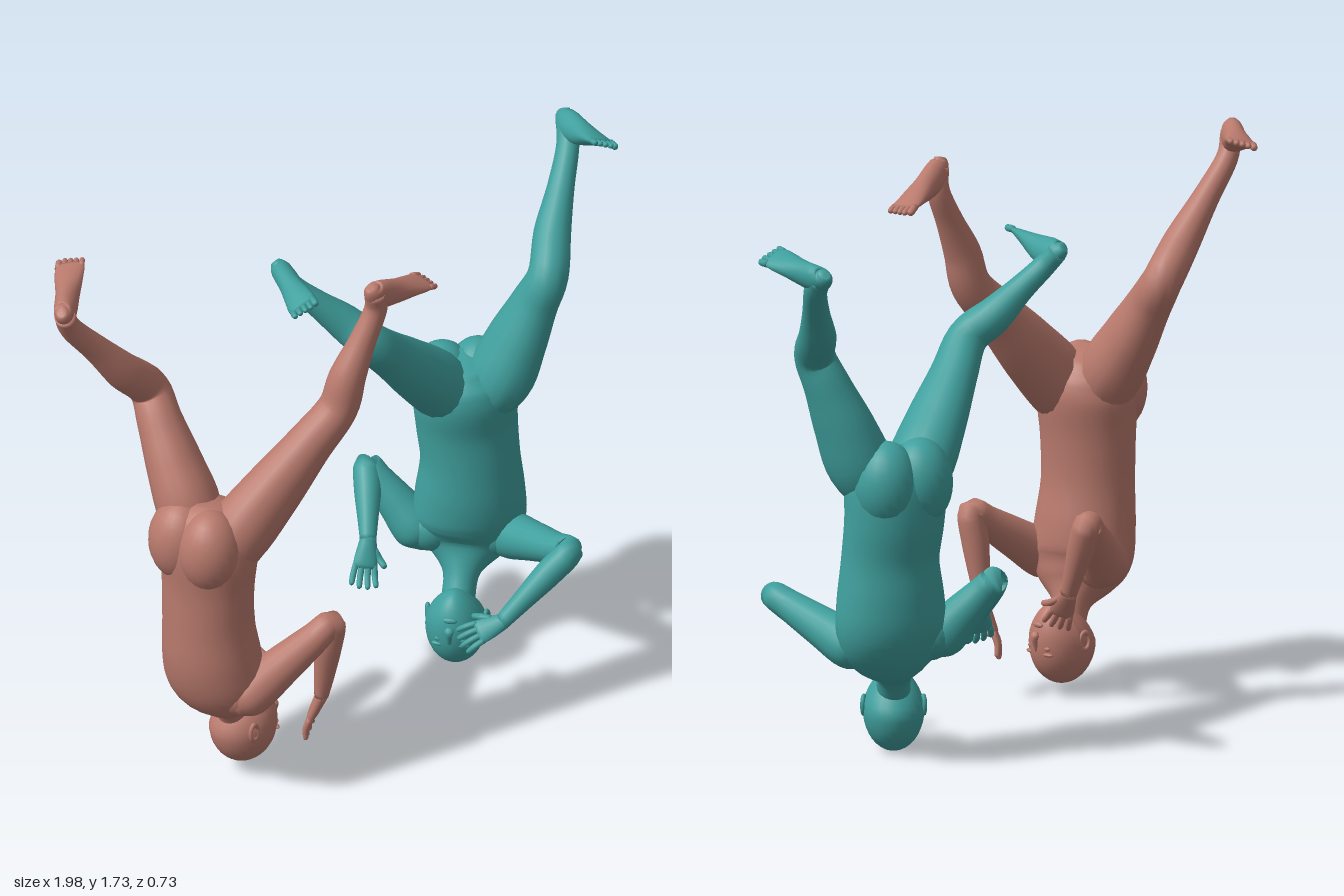
import * as THREE from 'three';

const V = (a) => new THREE.Vector3(a[0], a[1], a[2]);
const mix = (a, b, t) => a.clone().lerp(b, t);
const along = (p, dir, d) => p.clone().addScaledVector(dir, d);

// Smooth skin through sections [centre, half width, half depth]; width runs along side
function loft(sections, side, steps = 5, n = 18) {
  const path = new THREE.CatmullRomCurve3(sections.map((s) => s[0]), false, 'catmullrom', 0.5);
  const size = new THREE.CatmullRomCurve3(sections.map((s) => new THREE.Vector3(s[1], s[2], 0)), false, 'catmullrom', 0.5);
  const rows = (sections.length - 1) * steps;
  const pos = [], idx = [];
  for (let i = 0; i <= rows; i++) {
    const c = path.getPoint(i / rows), r = size.getPoint(i / rows), T = path.getTangent(i / rows);
    const S = along(side, T, -side.dot(T)).normalize();
    const N = T.clone().cross(S);
    for (let j = 0; j < n; j++) {
      const a = (j / n) * Math.PI * 2;
      const p = along(along(c, S, Math.cos(a) * r.x), N, Math.sin(a) * r.y);
      pos.push(p.x, p.y, p.z);
      const k = (j + 1) % n, o = i * n;
      if (i < rows) idx.push(o + j, o + k, o + n + j, o + k, o + n + k, o + n + j);
    }
  }
  const first = sections[0][0], last = sections[sections.length - 1][0], c0 = pos.length / 3;
  pos.push(...first.toArray(), ...last.toArray());
  for (let j = 0; j < n; j++) {
    const k = (j + 1) % n;
    idx.push(c0, k, j, c0 + 1, rows * n + j, rows * n + k);
  }
  const g = new THREE.BufferGeometry();
  g.setAttribute('position', new THREE.Float32BufferAttribute(pos, 3));
  g.setIndex(idx);
  g.computeVertexNormals();
  return g;
}

function figure(spec) {
  const group = new THREE.Group();
  group.name = spec.name;
  const mat = new THREE.MeshStandardMaterial({ color: spec.color });
  const add = (name, geo, parent = group) => {
    const m = new THREE.Mesh(geo, mat);
    m.name = name;
    parent.add(m);
    return m;
  };
  const blob = (name, parent, p, s) => {
    const m = add(name, new THREE.SphereGeometry(1, 24, 16), parent);
    m.position.set(...p);
    m.scale.set(...s);
    return m;
  };
  // Group with its own up pointing down and its front along face
  const inverted = (name, at, face) => {
    const g = new THREE.Group(), y = new THREE.Vector3(0, -1, 0), z = V(face).normalize();
    g.name = name;
    g.quaternion.setFromRotationMatrix(new THREE.Matrix4().makeBasis(y.clone().cross(z), y, z));
    g.position.set(...at);
    group.add(g);
    return g;
  };

  // Torso and buttocks
  add('torso', loft(spec.torso.map((s) => [V(s), s[3], s[4]]), V(spec.side).normalize(), 5, 28));
  const hips = inverted('buttocks', spec.hips, spec.face);
  for (const s of [-1, 1]) blob('buttock', hips, [s * 0.055, 0, -0.035], [0.1, 0.135, 0.102]);

  // Head: skull narrowed towards the jaw
  const head = inverted('head', spec.head, spec.look);
  const skull = new THREE.SphereGeometry(1, 28, 20), q = skull.attributes.position;
  for (let i = 0; i < q.count; i++) {
    const x = q.getX(i), y = q.getY(i), z = q.getZ(i), t = Math.max(0, -y);
    q.setXYZ(i, x * 0.093 * (1 - 0.3 * t * t), y * 0.128, z * 0.106 * (1 - 0.2 * t) + 0.028 * t);
  }
  skull.computeVertexNormals();
  add('skull', skull, head);
  add('nose', loft([
    [V([0, 0.015, 0.098]), 0.007, 0.007], [V([0, -0.02, 0.108]), 0.01, 0.011],
    [V([0, -0.035, 0.108]), 0.015, 0.01], [V([0, -0.042, 0.1]), 0.008, 0.006],
  ], new THREE.Vector3(1, 0, 0), 3, 10), head);
  blob('lips', head, [0, -0.066, 0.097], [0.022, 0.009, 0.008]);
  for (const s of [-1, 1]) {
    blob('eye', head, [s * 0.034, 0.004, 0.09], [0.015, 0.009, 0.009]);
    blob('brow', head, [s * 0.034, 0.022, 0.089], [0.024, 0.007, 0.011]);
    const ear = add('ear', new THREE.TorusGeometry(0.02, 0.007, 8, 16), head);
    ear.position.set(s * 0.09, -0.015, -0.012);
    ear.scale.set(0.75, 1.3, 1);
    ear.rotation.y = s * 1.3;
  }

  // Legs rooted inside the pelvis, with feet; the sole points away from the ankle
  const pelvis = V(spec.torso[3]);
  for (const [name, ...pts] of spec.legs) {
    const [hip, knee, ankle, heel, toe] = pts.map(V);
    const f = toe.clone().sub(heel).normalize();
    let n = heel.clone().sub(ankle);
    n = along(n, f, -n.dot(f)).normalize();
    const side = f.clone().cross(n), len = heel.distanceTo(toe);
    add(name + 'Leg', loft([
      [mix(hip, pelvis, 0.75), 0.06, 0.06], [hip, 0.097, 0.11], [mix(hip, knee, 0.38), 0.086, 0.103],
      [mix(hip, knee, 0.72), 0.07, 0.078], [knee, 0.062, 0.063],
      [along(mix(knee, ankle, 0.32), f, -0.012), 0.056, 0.058],
      [along(mix(knee, ankle, 0.68), f, -0.004), 0.041, 0.043], [ankle, 0.034, 0.037],
      [mix(ankle, heel, 0.6), 0.032, 0.036],
    ], side));
    const foot = [[0, 0.014, 0.018], [0.05, 0.028, 0.034], [0.2, 0.034, 0.046], [0.42, 0.036, 0.04],
      [0.65, 0.043, 0.026], [0.82, 0.046, 0.016], [0.9, 0.042, 0.011]];
    add(name + 'Foot', loft(foot.map(([t, w, h]) => [along(along(heel, f, t * len), n, -h), w, h]), side, 4));
    for (let i = 0; i < 5; i++) {
      const base = along(along(heel, f, len * 0.86), side, (i - 2) * 0.018);
      const reach = len * (0.15 - 0.012 * Math.abs(i - 1)), r = i === 0 ? 0.011 : 0.009;
      add(name + 'Toe', loft([
        [along(base, n, -0.012), r, r], [along(along(base, f, reach * 0.8), n, -r), r, r],
        [along(along(base, f, reach), n, -r), r * 0.4, r * 0.4],
      ], side, 3, 8));
    }
  }

  // Arms with hands; a rounded shoulder blends each into the chest
  const chest = V(spec.torso[6]);
  for (const [name, ...pts] of spec.arms) {
    const [shoulder, elbow, wrist, tip, across] = pts.map(V);
    const up = elbow.clone().sub(shoulder).normalize();
    const d = tip.clone().sub(wrist).normalize();
    const side = along(across, d, -across.dot(d)).normalize();
    const palm = d.clone().cross(side), len = wrist.distanceTo(tip);
    blob(name + 'Shoulder', group, mix(shoulder, chest, 0.25).toArray(), [0.08, 0.08, 0.08]);
    add(name + 'Arm', loft([
      [along(shoulder, up, -0.06), 0.035, 0.035], [shoulder, 0.072, 0.072], [mix(shoulder, elbow, 0.4), 0.061, 0.062],
      [mix(shoulder, elbow, 0.78), 0.048, 0.049], [elbow, 0.042, 0.042], [mix(elbow, wrist, 0.3), 0.042, 0.042],
      [mix(elbow, wrist, 0.7), 0.032, 0.032], [wrist, 0.025, 0.022],
    ], side));
    add(name + 'Palm', loft([
      [along(wrist, d, -0.01), 0.024, 0.021], [along(wrist, d, len * 0.25), 0.033, 0.018],
      [along(wrist, d, len * 0.5), 0.037, 0.015], [along(wrist, d, len * 0.58), 0.03, 0.008],
    ], side, 4, 14));
    const finger = (base, dir, l, r) => add(name + 'Finger', loft([
      [base, r, r], [along(base, dir, l * 0.5), r, r],
      [along(along(base, dir, l * 0.92), palm, 0.012), r * 0.85, r * 0.85],
      [along(along(base, dir, l), palm, 0.015), r * 0.35, r * 0.35],
    ], side, 3, 8));
    for (let i = 0; i < 4; i++) {
      const o = i - 1.5;
      finger(along(along(wrist, d, len * 0.5), side, o * 0.019), along(d, side, o * 0.1).normalize(),
        len * (0.52 - 0.05 * Math.abs(o)), 0.0095);
    }
    finger(along(along(wrist, d, len * 0.18), side, 0.022), along(d, side, 0.75).normalize(), len * 0.42, 0.011);
  }
  return group;
}

export function createModel() {
  const model = new THREE.Group();
  model.name = 'invertedPair';
  model.add(figure({
    name: 'leftHandFigure', color: 0xb97a6d,
    side: [0.33, 0, 0.94], face: [0.94, 0, -0.33], look: [0.99, 0, 0.08],
    hips: [-0.635, 0.91, 0.16], head: [-0.465, 0.165, 0.12],
    torso: [
      [-0.6, 1.03, 0.145, 0.06, 0.06], [-0.61, 0.98, 0.155, 0.125, 0.115], [-0.617, 0.9, 0.165, 0.155, 0.138],
      [-0.62, 0.77, 0.165, 0.148, 0.127], [-0.62, 0.63, 0.165, 0.145, 0.127], [-0.608, 0.5, 0.165, 0.156, 0.137],
      [-0.588, 0.4, 0.16, 0.16, 0.127], [-0.555, 0.33, 0.15, 0.125, 0.093], [-0.52, 0.27, 0.135, 0.06, 0.06],
      [-0.49, 0.2, 0.12, 0.05, 0.055],
    ],
    legs: [
      ['far', [-0.63, 0.97, 0.08], [-0.64, 1.295, -0.13], [-0.925, 1.62, -0.12], [-0.985, 1.74, -0.09], [-0.8, 1.725, -0.315]],
      ['near', [-0.565, 0.915, 0.22], [-0.22, 1.285, 0.262], [-0.085, 1.6, 0.267], [-0.1, 1.715, 0.285], [0.15, 1.59, 0.205]],
    ],
    arms: [
      ['near', [-0.555, 0.385, 0.28], [-0.28, 0.56, 0.32], [-0.285, 0.28, 0.275], [-0.31, 0.125, 0.215], [0.7, 0, -0.7]],
      ['far', [-0.56, 0.4, 0.03], [-0.36, 0.58, -0.09], [-0.36, 0.35, -0.01], [-0.385, 0.22, 0.075], [0.5, 0, 0.8]],
    ],
  }));
  model.add(figure({
    name: 'rightHandFigure', color: 0x3f9f9d,
    side: [0.92, 0, 0.38], face: [-0.38, 0, 0.92], look: [-0.7, 0, 0.7],
    hips: [0.495, 0.88, -0.14], head: [0.39, 0.133, -0.015],
    torso: [
      [0.485, 0.985, -0.11, 0.06, 0.06], [0.49, 0.94, -0.118, 0.125, 0.115], [0.495, 0.87, -0.127, 0.157, 0.135],
      [0.503, 0.76, -0.13, 0.155, 0.13], [0.507, 0.64, -0.117, 0.152, 0.125], [0.507, 0.52, -0.117, 0.167, 0.132],
      [0.505, 0.42, -0.12, 0.172, 0.125], [0.485, 0.34, -0.11, 0.14, 0.092], [0.445, 0.27, -0.07, 0.06, 0.06],
      [0.41, 0.2, -0.035, 0.05, 0.055],
    ],
    legs: [
      ['outer', [0.575, 0.92, -0.065], [0.708, 1.28, 0.003], [0.915, 1.55, -0.205], [0.965, 1.645, -0.285], [0.945, 1.65, -0.03]],
      ['inner', [0.42, 0.9, -0.145], [0.1, 1.235, -0.04], [-0.095, 1.44, -0.165], [-0.135, 1.525, -0.225], [-0.19, 1.505, 0.04]],
    ],
    arms: [
      ['outer', [0.59, 0.365, -0.04], [0.605, 0.47, 0.275], [0.38, 0.285, 0.25], [0.255, 0.235, 0.205], [0, 0.6, -0.8]],
      ['inner', [0.365, 0.385, -0.19], [0.275, 0.565, -0.325], [0.175, 0.42, -0.17], [0.115, 0.3, -0.11], [0.8, -0.3, 0.5]],
    ],
  }));
  return model;
}
